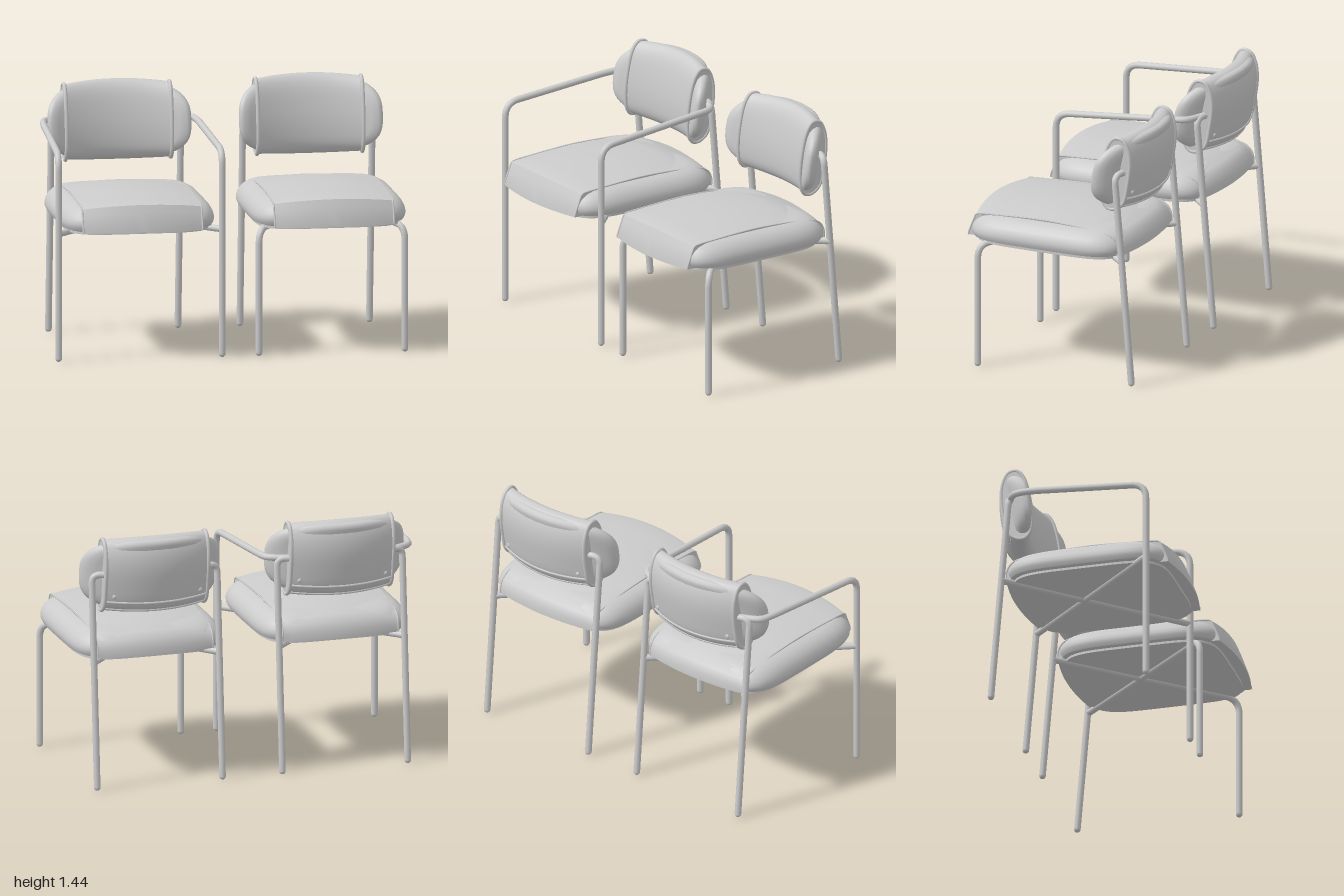
import * as THREE from 'three';
import { toCreasedNormals } from 'three/addons/utils/BufferGeometryUtils.js';

const material = new THREE.MeshStandardMaterial({ color: 0xcccccc });
const V = (x, y, z) => new THREE.Vector3(x, y, z);
const SIDES = [-1, 1];

function part(name, geometry, parent) {
  const mesh = new THREE.Mesh(geometry, material);
  mesh.name = name;
  parent.add(mesh);
  return mesh;
}

// Skin over closed rings of equal length, with fan caps at both ends
function loft(rings, crease = 0.7) {
  const n = rings[0].length, last = rings.length - 1;
  const pos = [], index = [];
  rings.forEach(r => r.forEach(p => pos.push(p.x, p.y, p.z)));
  for (let i = 0; i < last; i++) {
    for (let j = 0; j < n; j++) {
      const a = i * n + j, b = i * n + (j + 1) % n;
      index.push(a, b, b + n, a, b + n, a + n);
    }
  }
  [0, last].forEach((k, end) => {
    const c = rings[k].reduce((s, p) => s.add(p), V(0, 0, 0)).divideScalar(n);
    pos.push(c.x, c.y, c.z);
    for (let j = 0; j < n; j++) {
      const a = k * n + j, b = k * n + (j + 1) % n, m = pos.length / 3 - 1;
      index.push(m, ...(end ? [a, b] : [b, a]));
    }
  });
  const g = new THREE.BufferGeometry();
  g.setAttribute('position', new THREE.Float32BufferAttribute(pos, 3));
  g.setIndex(index);
  return toCreasedNormals(g, crease);
}

// Round steel rod through corner points, corners rounded by the given radius
const ROD = 0.019;
function rod(name, pts, bend, parent) {
  const path = new THREE.CurvePath();
  let from = pts[0];
  for (let i = 1; i < pts.length; i++) {
    const p = pts[i];
    if (i === pts.length - 1) { path.add(new THREE.LineCurve3(from, p)); break; }
    const toPrev = pts[i - 1].clone().sub(p), toNext = pts[i + 1].clone().sub(p);
    const r = Math.min(bend, toPrev.length() * 0.48, toNext.length() * 0.48);
    const a = p.clone().addScaledVector(toPrev.normalize(), r);
    const b = p.clone().addScaledVector(toNext.normalize(), r);
    path.add(new THREE.LineCurve3(from, a));
    path.add(new THREE.QuadraticBezierCurve3(a, p, b));
    from = b;
  }
  part(name, new THREE.TubeGeometry(path, pts.length > 2 ? 90 : 1, ROD, 12), parent);
  for (const p of [pts[0], pts[pts.length - 1]]) {
    part(name + 'End', new THREE.SphereGeometry(ROD, 12, 8), parent).position.copy(p);
  }
}

// Superellipse point as a pair in -1..1
function oval(t, n) {
  const f = v => Math.sign(v) * Math.pow(Math.abs(v), 2 / n);
  return [f(Math.cos(t)), f(Math.sin(t))];
}
const angles = Array.from({ length: 64 }, (_, i) => i / 64 * Math.PI * 2);
const stations = (half, n) => Array.from({ length: n + 1 }, (_, i) => -half + 2 * half * i / n);

function buildSeat(parent) {
  const seat = new THREE.Group();
  seat.name = 'seat';
  parent.add(seat);
  const ring = (inset, y) => angles.map(t => {
    const [z, x] = oval(t, 5);
    return V(x * (0.438 - inset), y, 0.025 + z * (0.48 - inset));
  });
  // Cushion with bulging sides
  const levels = [[0.03, 0.738], [0.012, 0.745], [0.002, 0.765], [0, 0.785], [0.006, 0.81],
    [0.02, 0.835], [0.04, 0.856], [0.07, 0.873], [0.11, 0.882], [0.25, 0.888]];
  part('seatCushion', loft(levels.map(l => ring(...l))), seat);
  part('seatBase', loft([ring(0.03, 0.724), ring(0.03, 0.74)]), seat);

  // Cover band wrapped over the cushion from rear to front
  const profile = [[-0.475, 0.745], [-0.475, 0.79], [-0.455, 0.84], [-0.415, 0.872], [-0.25, 0.9],
    [-0.1, 0.912], [0.05, 0.917], [0.2, 0.913], [0.35, 0.905], [0.46, 0.898], [0.488, 0.89],
    [0.505, 0.85], [0.54, 0.75], [0.54, 0.74]];
  const half = 0.337;
  const section = x => profile.map(([z, y]) => {
    const u2 = (x / half) ** 2;
    return V(x, y - 0.028 * u2 * (y - 0.74) / 0.175, z * (1 - 0.08 * u2));
  });
  part('seatBand', loft(stations(half, 14).map(section)), seat);
  for (const s of SIDES) {
    const curve = new THREE.CatmullRomCurve3(section(s * half));
    part('seatSeam', new THREE.TubeGeometry(curve, 60, 0.005, 6), seat);
  }
}

function buildBack(parent) {
  const back = new THREE.Group();
  back.name = 'backrest';
  parent.add(back);
  const yMid = 1.21;
  // Curved inner pad whose wings show at both sides
  const pad = [[0.02, -1], [0.25, -1], [0.5, -1], [0.7, -1], [0.84, -0.95], [0.93, -0.8], [0.98, -0.45],
    [1, 0], [0.98, 0.45], [0.93, 0.8], [0.84, 0.95], [0.7, 1], [0.5, 1], [0.25, 1], [0.02, 1]];
  part('backPad', loft(pad.map(([s, d]) => angles.map(t => {
    const [a, b] = oval(t, 3);
    const x = a * s * 0.407, y = yMid + b * s * 0.216, up = Math.max(0, y - 1.2);
    return V(x, y, -0.445 + 0.85 * x * x - 0.12 * (y - 1.2) - 0.6 * up * up + d * 0.05);
  })), 1), back);

  // Cover sleeve around the pad: top, front, bottom, rear
  const outline = new THREE.CatmullRomCurve3([[-0.45, 1.433], [-0.41, 1.39], [-0.372, 1.26],
    [-0.357, 1.12], [-0.367, 1.03], [-0.4, 0.992], [-0.45, 0.994], [-0.5, 1.035], [-0.53, 1.15],
    [-0.545, 1.28], [-0.532, 1.37], [-0.5, 1.425]].map(([z, y]) => V(0, y, z)), true, 'centripetal')
    .getPoints(48).slice(0, 48);
  const half = 0.305;
  const section = (x, grow = 1) => outline.map(p => {
    const rear = (-0.357 - p.z) / 0.188;
    const z = -0.45 + (p.z + 0.45) * grow;
    return V(x, yMid + (p.y - yMid) * (1 - 0.07 * (x / half) ** 2) * grow, z + (0.61 + 0.17 * rear) * x * x);
  });
  part('backSleeve', loft(stations(half, 18).map(x => section(x))), back);
  for (const s of SIDES) {
    const edge = new THREE.CatmullRomCurve3(section(s * 0.298, 1.01), true);
    part('sleevePiping', new THREE.TubeGeometry(edge, 72, 0.011, 8, true), back);
    const button = part('sleeveButton', new THREE.SphereGeometry(0.014, 12, 8), back);
    button.scale.z = 0.5;
    button.position.set(s * 0.25, 1.1, -0.473);
  }
  // Folded hems along the lower rear edge
  for (const k of [26, 29]) {
    const hem = new THREE.CatmullRomCurve3(stations(0.3, 12).map(x => section(x)[k]));
    part('sleeveHem', new THREE.TubeGeometry(hem, 30, 0.008, 6), back);
  }
}

function buildChair(name, withArms) {
  const chair = new THREE.Group();
  chair.name = name;
  buildSeat(chair);
  buildBack(chair);
  for (const s of SIDES) {
    // Rear leg leaning forward and turning in behind the backrest
    rod('rearLeg', [V(s * 0.366, ROD, -0.518), V(s * 0.366, 1.225, -0.415), V(s * 0.27, 1.225, -0.445)], 0.05, chair);
    const cross = V(-s * 0.366, 0.725, -0.455);
    if (withArms) {
      // Front leg and armrest from one bent rod
      rod('armAndFrontLeg', [V(s * 0.462, ROD, 0.405), V(s * 0.462, 1.168, 0.405), V(s * 0.436, 1.222, -0.27),
        V(s * 0.42, 1.225, -0.375), V(s * 0.34, 1.225, -0.415), V(s * 0.27, 1.225, -0.445)], 0.085, chair);
      rod('crossRail', [V(s * 0.462, 0.725, 0.405), cross], 0, chair);
    } else {
      // Front leg bending into the diagonal rail under the seat
      rod('frontLegAndRail', [V(s * 0.412, ROD, 0.405), V(s * 0.412, 0.725, 0.405), cross], 0.09, chair);
    }
  }
  return chair;
}

export function createModel() {
  const model = new THREE.Group();
  model.name = 'chairPair';
  const armchair = buildChair('armchair', true);
  armchair.position.x = -0.523;
  const sideChair = buildChair('sideChair', false);
  sideChair.position.x = 0.559;
  model.add(armchair, sideChair);
  return model;
}
